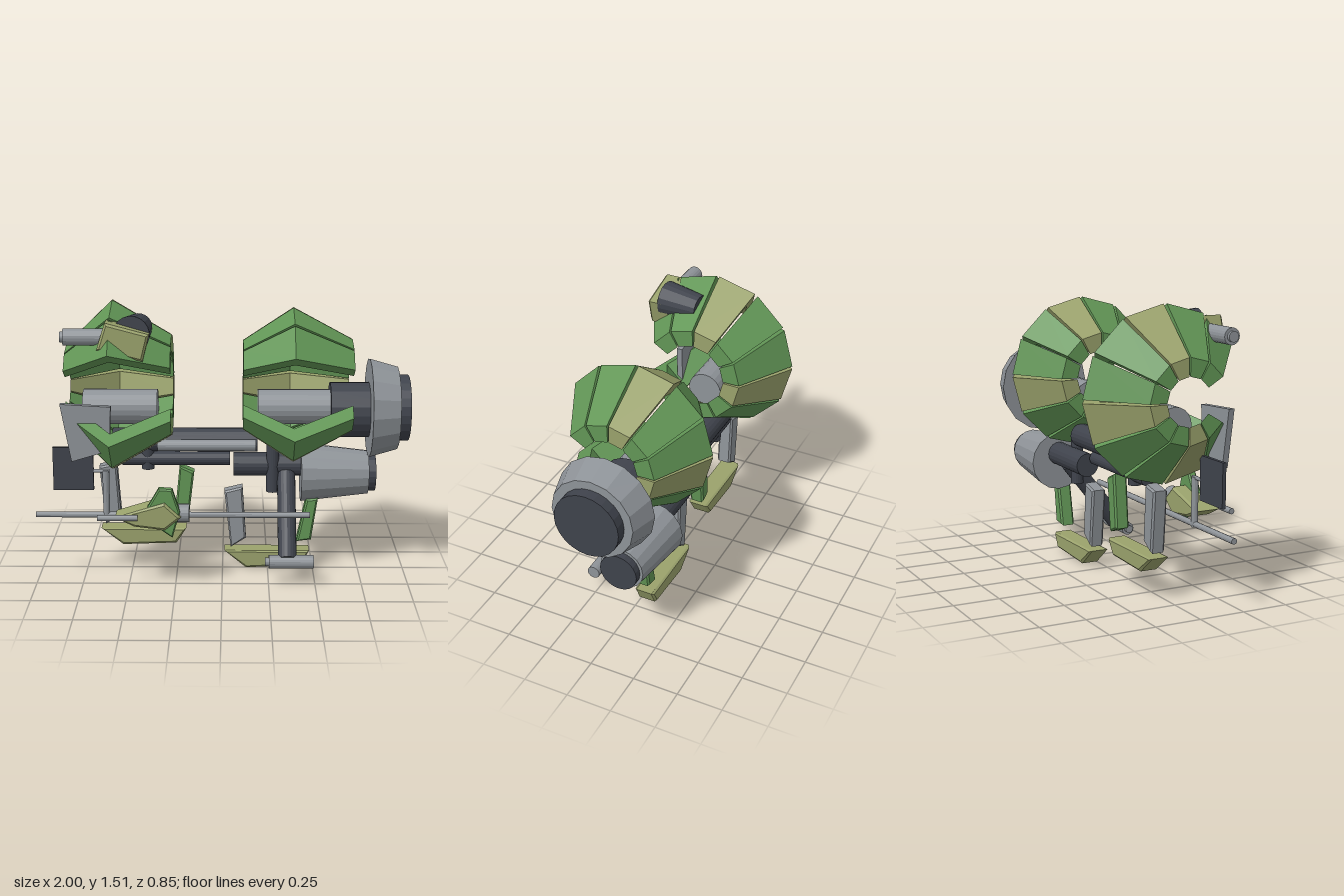
import * as THREE from 'three';

const material = (name, color) => Object.assign(new THREE.MeshStandardMaterial({ color }), { name });

export function createModel() {
  const model = new THREE.Group();
  model.name = 'craft';
  const green = material('green armour', 0x629656);
  const olive = material('olive armour', 0x9aa26c);
  const grey = material('grey metal', 0x8e9398);
  const dark = material('dark metal', 0x3f434c);

  // every part is faceted
  function add(name, geometry, mat, parent = model) {
    const flat = geometry.index ? geometry.toNonIndexed() : geometry;
    flat.computeVertexNormals();
    const mesh = new THREE.Mesh(flat, mat);
    mesh.name = name;
    parent.add(mesh);
    return mesh;
  }

  // round bar between two points, with a radius at each end
  function bar(name, from, to, r0, r1, mat, sides = 20) {
    const a = new THREE.Vector3(...from), b = new THREE.Vector3(...to);
    const dir = b.clone().sub(a);
    const mesh = add(name, new THREE.CylinderGeometry(r1, r0, dir.length(), sides), mat);
    mesh.position.copy(a).add(b).multiplyScalar(0.5);
    mesh.quaternion.setFromUnitVectors(new THREE.Vector3(0, 1, 0), dir.normalize());
    return mesh;
  }
  const barX = (name, x0, x1, y, z, r0, r1, mat, sides) =>
    bar(name, [x0, y, z], [x1, y, z], r0, r1, mat, sides);

  // outline in x and y, given depth around z, with a small bevel
  function slab(name, points, z, depth, bevel, mat) {
    const shape = new THREE.Shape(points.map(p => new THREE.Vector2(...p)));
    const geometry = new THREE.ExtrudeGeometry(shape, {
      depth: depth - 2 * bevel, bevelEnabled: bevel > 0, bevelSize: bevel,
      bevelThickness: bevel, bevelOffset: -bevel, bevelSegments: 1,
    });
    geometry.translate(0, 0, z - depth / 2 + bevel);
    return add(name, geometry, mat);
  }

  // one curved armour plate: a V section swept straight between two angles
  function plateGeometry(xs, radii, thick, start, end) {
    const section = [];
    for (const i of [0, 1, 2]) section.push([xs[i], radii[i] - thick]);
    for (const i of [2, 1, 0]) section.push([xs[i], radii[i]]);
    const ring = t => section.map(([x, r]) => [x, 1.048 + r * Math.cos(t), 0.026 - r * Math.sin(t)]);
    const A = ring(start), B = ring(end), pos = [];
    const quad = (a, b, c, d) => pos.push(...a, ...b, ...c, ...a, ...c, ...d);
    for (let i = 0; i < 6; i++) {
      const j = (i + 1) % 6;
      quad(A[i], B[i], B[j], A[j]);
    }
    for (const i of [0, 1]) {
      quad(A[i], A[i + 1], A[4 - i], A[5 - i]);
      quad(B[5 - i], B[4 - i], B[i + 1], B[i]);
    }
    const geometry = new THREE.BufferGeometry();
    geometry.setAttribute('position', new THREE.Float32BufferAttribute(pos, 3));
    return geometry;
  }

  // segmented drums, open at the front
  function drum(name, xs, radii) {
    const group = new THREE.Group();
    group.name = name;
    model.add(group);
    const step = Math.PI / 6, gap = 0.02;
    for (let i = 0; i < 12; i++) {
      if (i === 8 || i === 9) continue;
      add('armourPlate', plateGeometry(xs, radii, 0.095, i * step + gap, (i + 1) * step - gap),
        i % 3 === 0 ? olive : green, group);
    }
  }
  drum('leftDrum', [0.11, 0.375, 0.69], [0.245, 0.42, 0.25]);
  drum('rightDrum', [-0.83, -0.58, -0.27], [0.22, 0.46, 0.275]);

  // drum cores
  barX('drumCore', -0.75, -0.35, 0.92, -0.01, 0.095, 0.095, grey);
  barX('drumCore', 0.19, 0.6, 0.92, -0.01, 0.095, 0.095, grey);

  // main engine
  barX('engineNeck', 0.58, 0.8, 0.9, -0.03, 0.15, 0.15, dark);
  barX('engineBell', 0.79, 0.94, 0.916, -0.01, 0.268, 0.225, grey, 16);
  barX('engineCap', 0.92, 1, 0.916, -0.01, 0.178, 0.178, dark, 24);

  // lower engine
  barX('lowerShaft', 0.06, 0.45, 0.575, -0.09, 0.065, 0.065, dark);
  barX('lowerBell', 0.43, 0.8, 0.53, -0.09, 0.163, 0.12, grey, 16);
  barX('lowerCap', 0.79, 0.84, 0.53, -0.09, 0.104, 0.104, dark);

  // spine beams
  barX('upperBeam', -0.6, 0.19, 0.72, -0.065, 0.065, 0.065, dark);
  barX('lowerBeam', -0.55, 0.04, 0.617, -0.05, 0.038, 0.038, dark);
  barX('pipe', -0.35, 0.18, 0.722, 0.06, 0.032, 0.032, grey);
  bar('shortPost', [-0.41, 0.56, -0.05], [-0.41, 0.7, -0.05], 0.035, 0.035, dark);
  bar('longPost', [0.275, 0.43, -0.05], [0.275, 0.75, -0.05], 0.035, 0.035, dark);

  // forward strut and its foot
  bar('strut', [0.35, 0.53, -0.06], [0.35, 0.14, 0.25], 0.05, 0.05, dark);
  barX('strutFoot', 0.25, 0.49, 0.13, 0.262, 0.036, 0.036, grey);
  barX('strutFootTip', 0.23, 0.25, 0.13, 0.262, 0.022, 0.022, grey);

  // skids and legs
  const skidZ = -0.043;
  slab('leftSkid', [[0.01, 0.1], [0.13, 0], [0.44, 0.015], [0.48, 0.1]], skidZ, 0.115, 0.012, olive);
  slab('rightSkid', [[-0.67, 0.23], [-0.55, 0.135], [-0.255, 0.145], [-0.2, 0.23]], skidZ, 0.115, 0.012, olive);
  slab('greyLeg', [[0.01, 0.44], [0.045, 0.115], [0.13, 0.17], [0.11, 0.465]], skidZ, 0.08, 0.01, grey);
  slab('greyLeg', [[-0.675, 0.58], [-0.645, 0.25], [-0.56, 0.3], [-0.58, 0.6]], skidZ, 0.08, 0.01, grey);
  slab('greenLeg', [[0.46, 0.395], [0.41, 0.15], [0.49, 0.16], [0.525, 0.4]], skidZ, 0.08, 0.01, green);
  slab('greenLeg', [[-0.235, 0.585], [-0.265, 0.29], [-0.19, 0.26], [-0.155, 0.55]], skidZ, 0.08, 0.01, green);

  // long antenna with its bracket and panel
  barX('antenna', -1, 0.47, 0.37, 0.187, 0.016, 0.016, grey, 12);
  bar('bracketPost', [-0.62, 0.355, 0.187], [-0.62, 0.62, 0.187], 0.018, 0.018, grey, 12);
  barX('bracketArm', -0.75, -0.6, 0.615, 0.187, 0.01, 0.01, grey, 12);
  slab('darkPanel', [[-0.9, 0.51], [-0.685, 0.51], [-0.685, 0.745], [-0.9, 0.745]], 0.187, 0.02, 0, dark);
  slab('greyShield', [[-0.845, 1], [-0.79, 0.69], [-0.59, 0.75], [-0.58, 0.985]], 0.258, 0.032, 0, grey);

  // lower gun
  slab('lowerGunBody', [[-0.56, 0.415], [-0.46, 0.365], [-0.3, 0.345], [-0.215, 0.415], [-0.3, 0.495]],
    0.308, 0.146, 0.012, olive);
  slab('lowerGunFins', [[-0.4, 0.45], [-0.33, 0.57], [-0.26, 0.565], [-0.22, 0.44], [-0.26, 0.3], [-0.33, 0.35]],
    0.343, 0.048, 0.008, green);
  barX('lowerGunRear', -0.3, -0.172, 0.42, 0.305, 0.048, 0.048, grey);
  barX('lowerGunBarrel', -0.65, -0.44, 0.42, 0.393, 0.016, 0.016, grey, 12);

  // upper gun
  bar('upperGunMount', [-0.44, 1.37, 0.062], [-0.465, 1.37, 0.28], 0.072, 0.096, dark);
  slab('upperGunBody', [[-0.64, 1.3], [-0.405, 1.24], [-0.37, 1.38], [-0.595, 1.44]], 0.288, 0.125, 0.012, olive);
  barX('upperGunBarrel', -0.815, -0.6, 1.355, 0.272, 0.044, 0.044, grey);
  barX('upperGunMuzzle', -0.832, -0.81, 1.355, 0.272, 0.028, 0.028, grey);

  return model;
}
